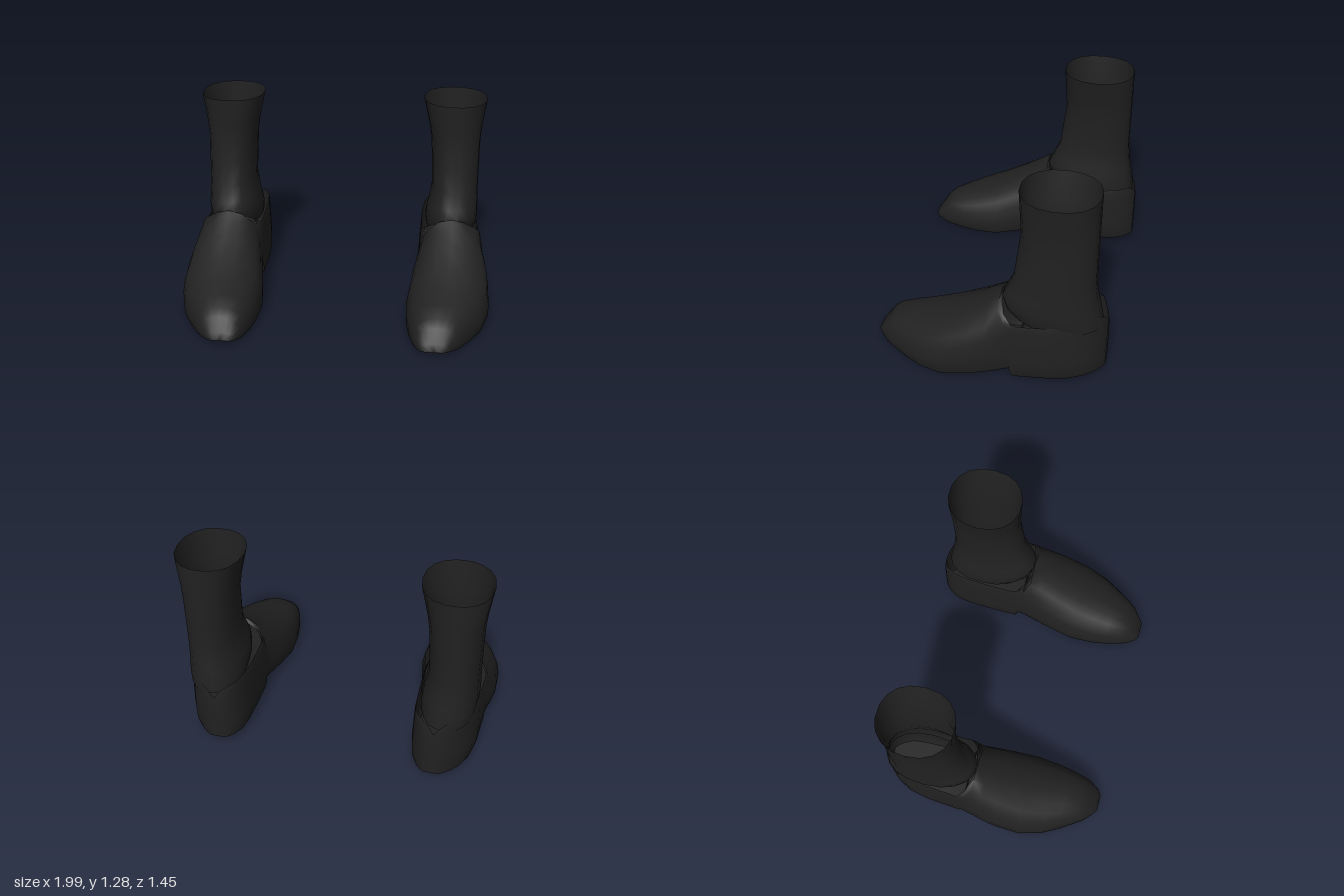
import * as THREE from 'three';
import { toCreasedNormals } from 'three/addons/utils/BufferGeometryUtils.js';

const black = new THREE.MeshStandardMaterial({ color: 0x212121, side: THREE.DoubleSide });
black.name = 'black';

// Skin a list of equal-length rings; caps closes both ends, mirrored flips the winding
function loft(rings, caps, mirrored) {
  const n = rings[0].length, pos = rings.flat(2), index = [];
  const tri = (a, b, c) => (mirrored ? index.push(a, c, b) : index.push(a, b, c));
  for (let i = 0; i < rings.length - 1; i++) {
    for (let j = 0; j < n - 1; j++) {
      const a = i * n + j, b = a + n;
      tri(a, a + 1, b);
      tri(a + 1, b + 1, b);
    }
  }
  if (caps) {
    [0, rings.length - 1].forEach((r, end) => {
      const centre = pos.length / 3;
      for (let k = 0; k < 3; k++) pos.push(rings[r].reduce((s, p) => s + p[k], 0) / n);
      for (let j = 0; j < n - 1; j++) {
        const a = r * n + j;
        end ? tri(centre, a, a + 1) : tri(centre, a + 1, a);
      }
    });
  }
  const g = new THREE.BufferGeometry();
  g.setAttribute('position', new THREE.Float32BufferAttribute(pos, 3));
  g.setIndex(index);
  return toCreasedNormals(g, 0.75);
}

// Half cross-sections from top to sole: [closed width, open heel width, height]
const PROFILE = [
  [0, 0.91, 1], [0.35, 0.93, 0.965], [0.62, 0.95, 0.88], [0.82, 0.965, 0.74],
  [0.93, 0.98, 0.55], [0.99, 1, 0.3], [0.98, 0.98, 0.07], [0.94, 0.92, 0],
];

// Shoe stations, toe to heel: z, inner x, outer x, sole y, top y, how open the top is
const SHOE = [
  [0.725, 0.60, 0.71, 0.035, 0.045, 0],
  [0.70, 0.565, 0.745, 0.027, 0.08, 0],
  [0.65, 0.535, 0.80, 0.017, 0.16, 0],
  [0.60, 0.515, 0.835, 0.01, 0.20, 0],
  [0.50, 0.49, 0.90, 0.004, 0.237, 0],
  [0.40, 0.475, 0.955, 0, 0.272, 0],
  [0.25, 0.467, 1.0, 0.005, 0.335, 0],
  [0.08, 0.49, 1.0, 0.04, 0.43, 0],
  [-0.02, 0.51, 0.985, 0.06, 0.495, 0],
  [-0.09, 0.525, 0.97, 0.074, 0.545, 0],
  [-0.13, 0.53, 0.962, 0.082, 0.48, 0.75],
  [-0.168, 0.53, 0.955, 0.09, 0.445, 0.95],
  [-0.18, 0.53, 0.952, 0.03, 0.43, 1],
  [-0.22, 0.53, 0.947, 0.025, 0.42, 1],
  [-0.40, 0.53, 0.935, 0.033, 0.43, 1],
  [-0.53, 0.535, 0.91, 0.04, 0.445, 1],
  [-0.62, 0.55, 0.865, 0.045, 0.457, 1],
  [-0.68, 0.585, 0.81, 0.048, 0.465, 1],
  [-0.71, 0.615, 0.77, 0.05, 0.43, 0.6],
  [-0.727, 0.64, 0.74, 0.05, 0.375, 0],
];

// Sock rings, top to bottom: y, inner x, outer x, front z, back z
const SOCK = [
  [1.283, 0.53, 0.947, -0.19, -0.652],
  [1.10, 0.573, 0.922, -0.20, -0.652],
  [1.0, 0.59, 0.915, -0.205, -0.652],
  [0.85, 0.598, 0.915, -0.185, -0.652],
  [0.69, 0.606, 0.915, -0.165, -0.652],
  [0.59, 0.59, 0.918, -0.12, -0.665],
  [0.53, 0.577, 0.92, -0.092, -0.678],
  [0.46, 0.567, 0.92, -0.11, -0.69],
  [0.39, 0.575, 0.905, -0.17, -0.70],
];

function shoeRing([z, x0, x1, y0, y1, open], side) {
  const cx = (x0 + x1) / 2, hw = (x1 - x0) / 2;
  const half = (sign) => PROFILE.map(([a, b, v]) =>
    [side * (cx + sign * hw * (a + (b - a) * open)), y0 + (y1 - y0) * v, z]);
  return [...half(1), [side * cx, y0, z], ...half(-1).reverse()];
}

function sockRing([y, x0, x1, zf, zb], side) {
  const ring = [], sides = 18;
  for (let i = 0; i <= sides; i++) {
    const t = (i % sides) / sides * Math.PI * 2;
    // slightly squared ellipse
    const round = (v) => Math.sign(v) * Math.abs(v) ** 0.9;
    ring.push([
      side * ((x0 + x1) / 2 + (x1 - x0) / 2 * round(Math.cos(t))),
      y,
      (zf + zb) / 2 + (zf - zb) / 2 * round(Math.sin(t)),
    ]);
  }
  return ring;
}

export function createModel() {
  const model = new THREE.Group();
  model.name = 'pairOfShoes';
  for (const [name, side] of [['left', 1], ['right', -1]]) {
    const foot = new THREE.Group();
    foot.name = name + 'Foot';

    // Shoe with raised heel and open collar
    const shoe = new THREE.Mesh(loft(SHOE.map((s) => shoeRing(s, side)), true, side < 0), black);
    shoe.name = name + 'Shoe';

    // Open sock rising from the collar
    const sock = new THREE.Mesh(loft(SOCK.map((s) => sockRing(s, side)), false, side < 0), black);
    sock.name = name + 'Sock';

    foot.add(shoe, sock);
    model.add(foot);
  }
  return model;
}
